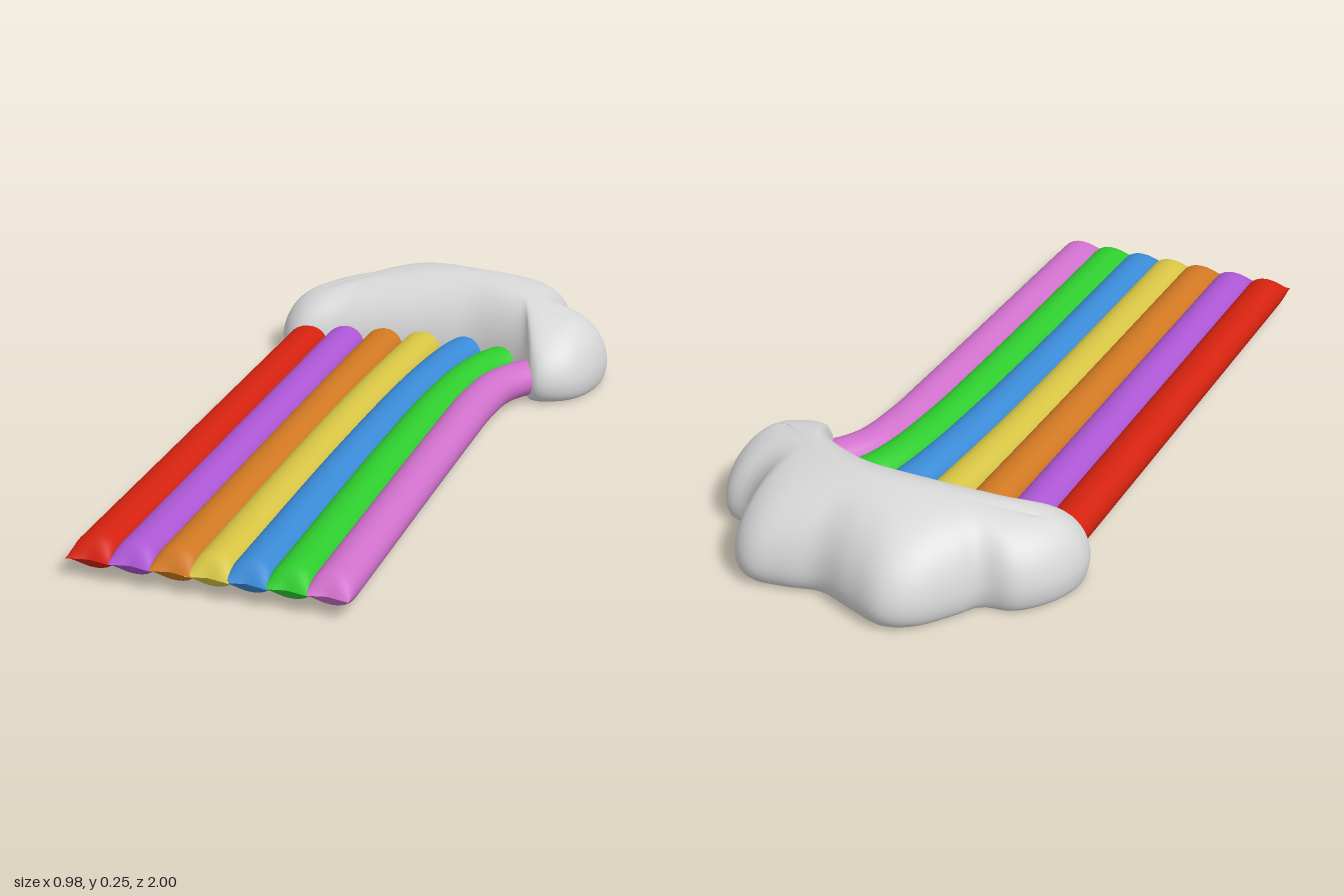
import * as THREE from 'three';

const material = (name, color, side = THREE.FrontSide) =>
  Object.assign(new THREE.MeshStandardMaterial({ color, side }), { name });

// Smooth skin over a list of closed rings with equal point counts
function loft(rings) {
  const n = rings[0].length, index = [];
  for (let k = 0; k < rings.length - 1; k++) {
    for (let i = 0; i < n; i++) {
      const a = k * n + i, b = k * n + (i + 1) % n;
      index.push(a, b, a + n, b, b + n, a + n);
    }
  }
  const geometry = new THREE.BufferGeometry();
  geometry.setAttribute('position', new THREE.Float32BufferAttribute(rings.flat(2), 3));
  geometry.setIndex(index);
  geometry.computeVertexNormals();
  return geometry;
}

const toCurve = (points, closed) =>
  new THREE.CatmullRomCurve3(points.map(([x, z]) => new THREE.Vector3(x, 0, z)), closed, 'centripetal');

// Puffy cloud: a lobed outline rising to a curved ridge, flat underneath
function cloudGeometry() {
  const outline = toCurve([
    [-0.49, -0.62], [-0.46, -0.72], [-0.39, -0.8], [-0.31, -0.82], [-0.27, -0.88], [-0.2, -0.97],
    [-0.13, -1], [-0.03, -0.97], [0.07, -0.935], [0.16, -0.955], [0.25, -0.965], [0.31, -0.92],
    [0.35, -0.78], [0.38, -0.75], [0.44, -0.74], [0.485, -0.66], [0.485, -0.55], [0.44, -0.44],
    [0.37, -0.39], [0.33, -0.39], [0.29, -0.46], [0.2, -0.52], [0.1, -0.56], [0, -0.565],
    [-0.1, -0.56], [-0.3, -0.53], [-0.42, -0.495], [-0.47, -0.54],
  ], true).getSpacedPoints(144).slice(0, -1);

  const ring = (r, heightAt) => outline.map((p) => {
    const x = 0.75 * p.x;
    const z = -0.74 + (x > 0 ? 1.4 : 0.7) * x * x;
    const ridge = 0.25 - 0.4 * (x - 0.03) ** 2;
    return [x + (p.x - x) * r, heightAt(ridge), z + (p.z - z) * r];
  });

  const rings = [];
  for (let k = 0; k <= 20; k++) {
    const a = (k / 20) * Math.PI / 2;
    const lift = Math.max(0, Math.cos(a)) ** 1.1;
    rings.push(ring(Math.sin(a), (ridge) => 0.05 + (ridge - 0.05) * lift));
  }
  for (let k = 1; k <= 6; k++) {
    const b = (k / 6) * Math.PI / 2;
    rings.push(ring(0.86 + 0.14 * Math.cos(b), () => 0.05 * (1 - Math.sin(b))));
  }
  rings.push(ring(0, () => 0));
  return loft(rings);
}

// Rounded stripe swept along its path, pinched to a flat edge at the front
function stripeGeometry(points) {
  const path = toCurve(points, false), rows = 60, sides = 24, rings = [];
  for (let j = 0; j <= rows; j++) {
    const u = (j / rows) ** 1.6;
    const p = path.getPointAt(u), t = path.getTangentAt(u);
    const pinch = Math.sin(Math.min(1, (1 - p.z) / 0.07) * Math.PI / 2);
    const halfHeight = 0.045 * pinch + 0.004 * u;
    const ring = [];
    for (let i = 0; i < sides; i++) {
      const a = (i / sides) * Math.PI * 2;
      const across = 0.056 * Math.cos(a);
      const scallop = 0.012 * (1 - Math.abs(Math.cos(a))) * (1 - pinch);
      ring.push([
        p.x - t.z * across,
        0.055 + 0.004 * u - halfHeight * Math.sin(a),
        p.z + t.x * across - scallop,
      ]);
    }
    rings.push(ring);
  }
  return loft(rings);
}

export function createModel() {
  const model = new THREE.Group();
  model.name = 'rainbowCloud';

  const add = (name, geometry, mat) => {
    const mesh = new THREE.Mesh(geometry, mat);
    mesh.name = name;
    model.add(mesh);
  };

  add('cloud', cloudGeometry(), material('cloudGrey', 0xd8d8d8));

  // Stripe paths as x, z from the front edge back into the cloud
  const stripes = [
    ['red', 0xd4220f, [[-0.39, 1], [-0.385, -0.56]]],
    ['purple', 0xac56d4, [[-0.285, 1], [-0.278, -0.6]]],
    ['orange', 0xd07822, [[-0.18, 1], [-0.173, 0], [-0.163, -0.62]]],
    ['yellow', 0xd6c444, [[-0.085, 1], [-0.077, 0], [-0.06, -0.4], [-0.045, -0.62]]],
    ['blue', 0x3a8ad6, [[0.01, 1], [0.018, 0.2], [0.04, -0.3], [0.07, -0.52], [0.1, -0.62]]],
    ['green', 0x2ecc2e, [[0.11, 1], [0.115, 0.2], [0.125, -0.15], [0.15, -0.38], [0.19, -0.5], [0.25, -0.58]]],
    ['pink', 0xd070cc, [[0.21, 1], [0.217, 0], [0.222, -0.2], [0.245, -0.35], [0.3, -0.44], [0.37, -0.5]]],
  ];
  for (const [name, color, points] of stripes) {
    add(name + 'Stripe', stripeGeometry(points), material(name, color, THREE.DoubleSide));
  }
  return model;
}
